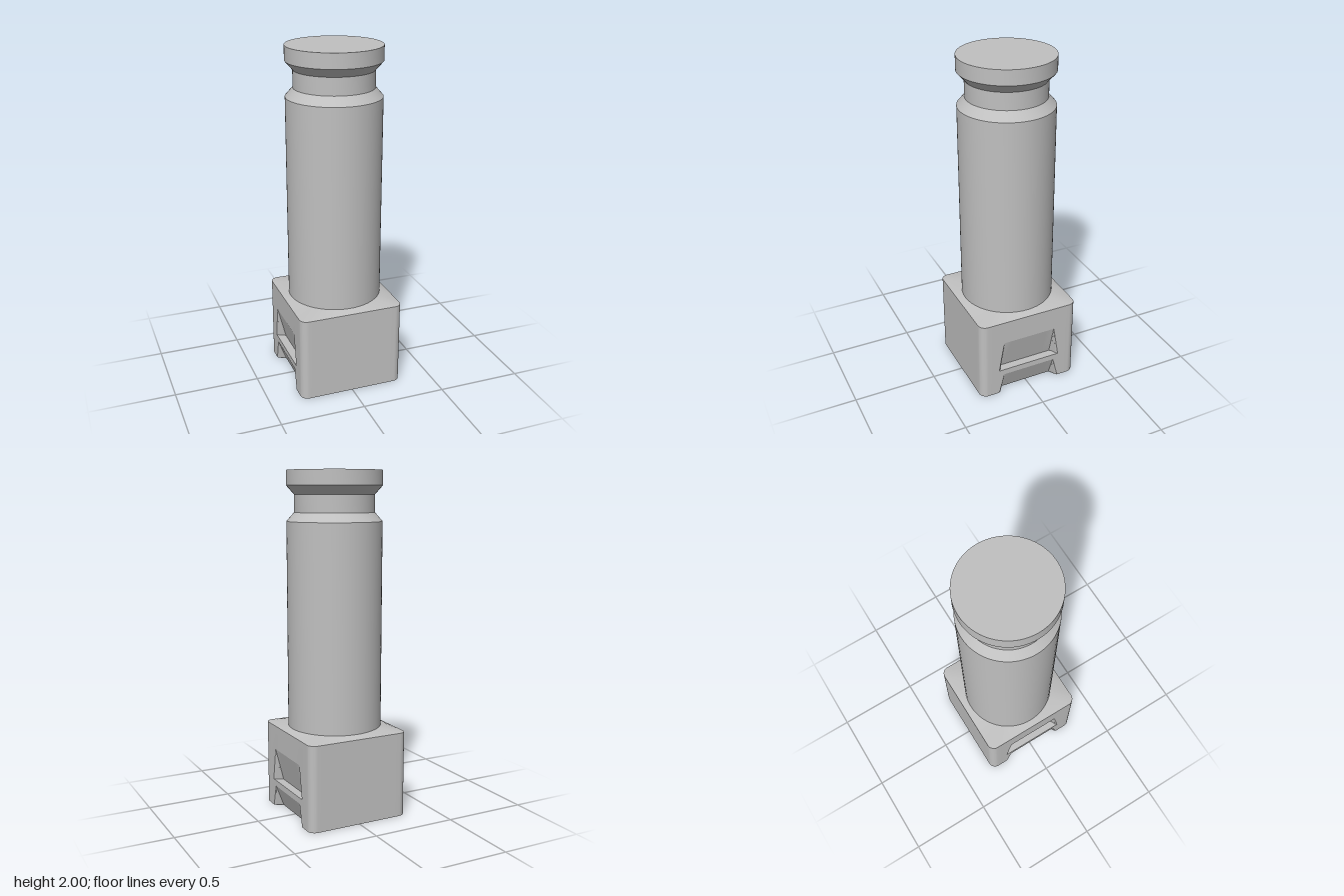
import * as THREE from 'three';
import { toCreasedNormals } from 'three/addons/utils/BufferGeometryUtils.js';

const HALF = 0.312, CORNER = 0.045, RADIUS = 0.274;
const BASE_TOP = 0.505, COLLAR = 0.525;

// Rounded-square outline at height y; depth pushes in the grip on the +x and -x sides.
function baseRing(y, depth) {
  const ring = [];
  const inner = 0.163;
  const outer = inner + 0.002 + 0.65 * depth;
  const flat = HALF - CORNER;
  const half = [[0, 1], [0.055, 1], [0.11, 1], [inner, 1],
    [inner + (outer - inner) * 0.3, 0.8], [inner + (outer - inner) * 0.7, 0.2],
    [outer, 0], [0.235, 0], [flat, 0]];
  const side = [...half.slice(1).reverse().map(([t, k]) => [-t, k]), ...half];
  for (let s = 0; s < 4; s++) {
    const c = Math.round(Math.cos(s * Math.PI / 2));
    const n = Math.round(Math.sin(s * Math.PI / 2));
    const add = (out, t) => ring.push(new THREE.Vector3(out * c - t * n, y, -(out * n + t * c)));
    for (const [t, k] of side) add(HALF - (s % 2 === 0 ? depth * k : 0), t);
    for (let i = 1; i < 9; i++) {
      const a = i / 9 * Math.PI / 2;
      add(flat + CORNER * Math.cos(a), flat + CORNER * Math.sin(a));
    }
  }
  return ring;
}

// Skin between successive rings, closed underneath by a fan.
function skin(rings) {
  const pos = [];
  const tri = (...pts) => pts.forEach((p) => pos.push(p.x, p.y, p.z));
  const count = rings[0].length;
  const centre = new THREE.Vector3();
  for (let i = 0; i < count; i++) {
    const j = (i + 1) % count;
    tri(centre, rings[0][j], rings[0][i]);
    for (let r = 0; r + 1 < rings.length; r++) {
      const lo = rings[r], hi = rings[r + 1];
      tri(lo[i], lo[j], hi[j]);
      tri(lo[i], hi[j], hi[i]);
    }
  }
  const geometry = new THREE.BufferGeometry();
  geometry.setAttribute('position', new THREE.Float32BufferAttribute(pos, 3));
  return toCreasedNormals(geometry, 0.2);
}

export function createModel() {
  const model = new THREE.Group();
  const grey = new THREE.MeshStandardMaterial({ color: 0xc0c0c0 });
  grey.name = 'plain grey';
  const add = (name, geometry) => {
    const mesh = new THREE.Mesh(geometry, grey);
    mesh.name = name;
    model.add(mesh);
  };

  // Square foot with two stepped finger grips per side, rising to a round collar
  const levels = [[0, 0.05], [0.13, 0], [0.165, 0], [0.165, 0.05], [0.36, 0], [BASE_TOP, 0]];
  const rings = levels.map(([y, depth]) => baseRing(y, depth));
  rings.push(baseRing(COLLAR, 0).map((p) => {
    const k = RADIUS / Math.hypot(p.x, p.z);
    return new THREE.Vector3(p.x * k, COLLAR, p.z * k);
  }));
  add('squareBase', skin(rings));

  // Turned column with chamfered shoulder, narrow neck and flanged cap
  const turned = (name, profile) => {
    const points = profile.map(([r, y]) => new THREE.Vector2(r, y));
    add(name, toCreasedNormals(new THREE.LatheGeometry(points, 72), 0.3));
  };
  turned('column', [[RADIUS, COLLAR - 0.005], [RADIUS, 1.715], [0.23, 1.765]]);
  turned('neck', [[0.23, 1.765], [0.23, 1.865]]);
  turned('cap', [[0.23, 1.865], [RADIUS, 1.915], [RADIUS, 2], [0, 2]]);

  return model;
}
